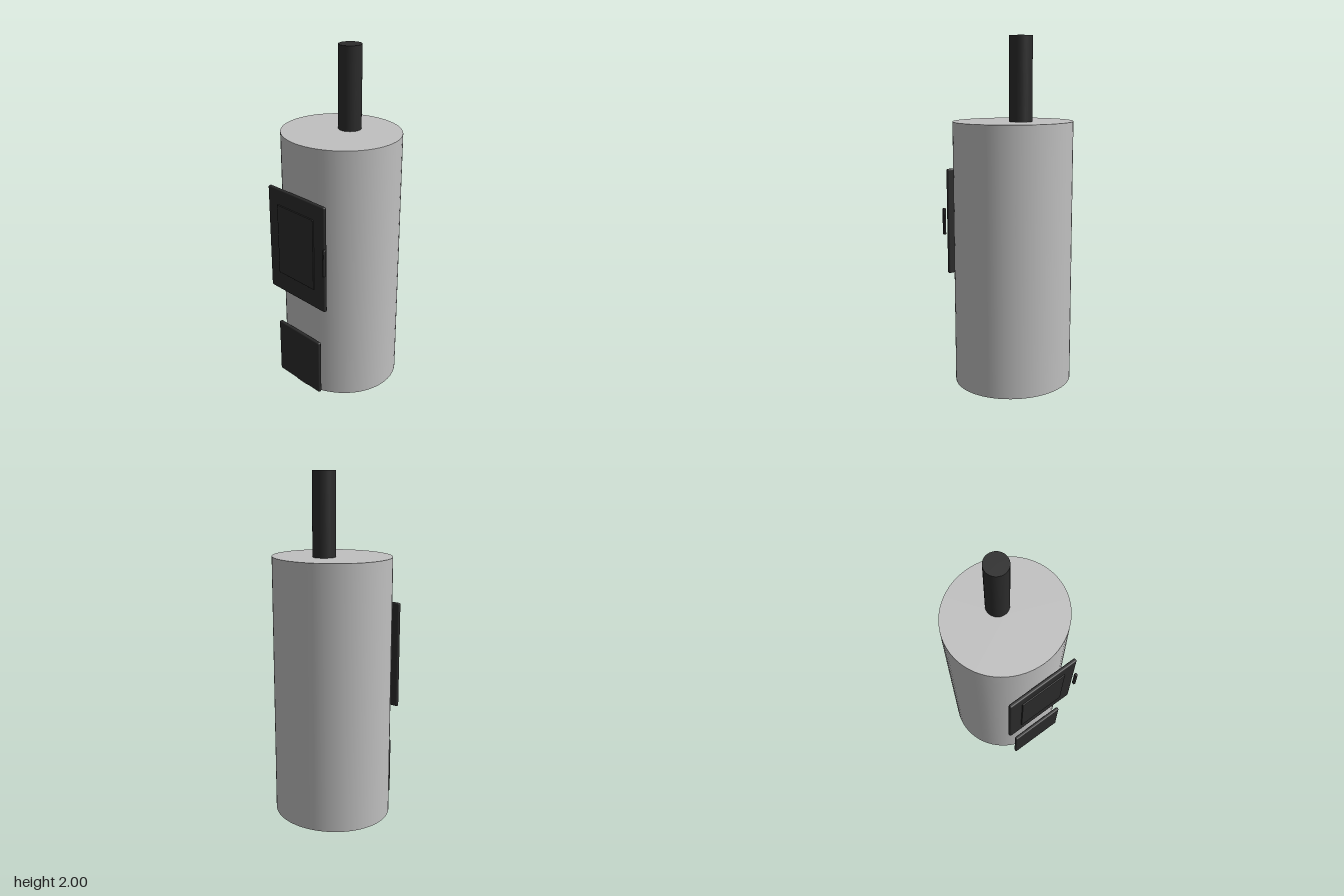
import * as THREE from 'three';
import { RoundedBoxGeometry } from 'three/addons/geometries/RoundedBoxGeometry.js';

export function createModel() {
  const group = new THREE.Group();
  const steel = new THREE.MeshStandardMaterial({ color: 0xc0c0c0 });
  steel.name = 'light grey steel';
  const iron = new THREE.MeshStandardMaterial({ color: 0x2b2b2b });
  iron.name = 'black iron';

  const add = (name, geometry, material, x, y, z) => {
    const mesh = new THREE.Mesh(geometry, material);
    mesh.name = name;
    mesh.position.set(x, y, z);
    group.add(mesh);
    return mesh;
  };

  // Slightly oval stove body
  const bodyGeometry = new THREE.CylinderGeometry(1, 1, 1.53, 64);
  bodyGeometry.scale(0.35, 1, 0.331);
  add('body', bodyGeometry, steel, 0, 0.765, -0.0215);

  // Flue pipe, set behind the middle of the top
  add('fluePipe', new THREE.CylinderGeometry(0.0655, 0.0655, 0.47, 48), iron, 0, 1.765, -0.088);

  // Soft-edged plates given by their extents
  const plate = (name, x0, x1, y0, y1, z0, z1, radius) =>
    add(name, new RoundedBoxGeometry(x1 - x0, y1 - y0, z1 - z0, 3, radius), iron,
      (x0 + x1) / 2, (y0 + y1) / 2, (z0 + z1) / 2);

  plate('fireDoor', -0.227, 0.227, 0.603, 1.24, 0.309, 0.332, 0.009);
  plate('doorPane', -0.147, 0.147, 0.72, 1.147, 0.325, 0.339, 0.004);
  plate('doorHandle', 0.23, 0.246, 0.842, 1.003, 0.331, 0.35, 0.005);
  plate('ashDoor', -0.174, 0.174, 0.026, 0.371, 0.309, 0.332, 0.009);

  return group;
}
